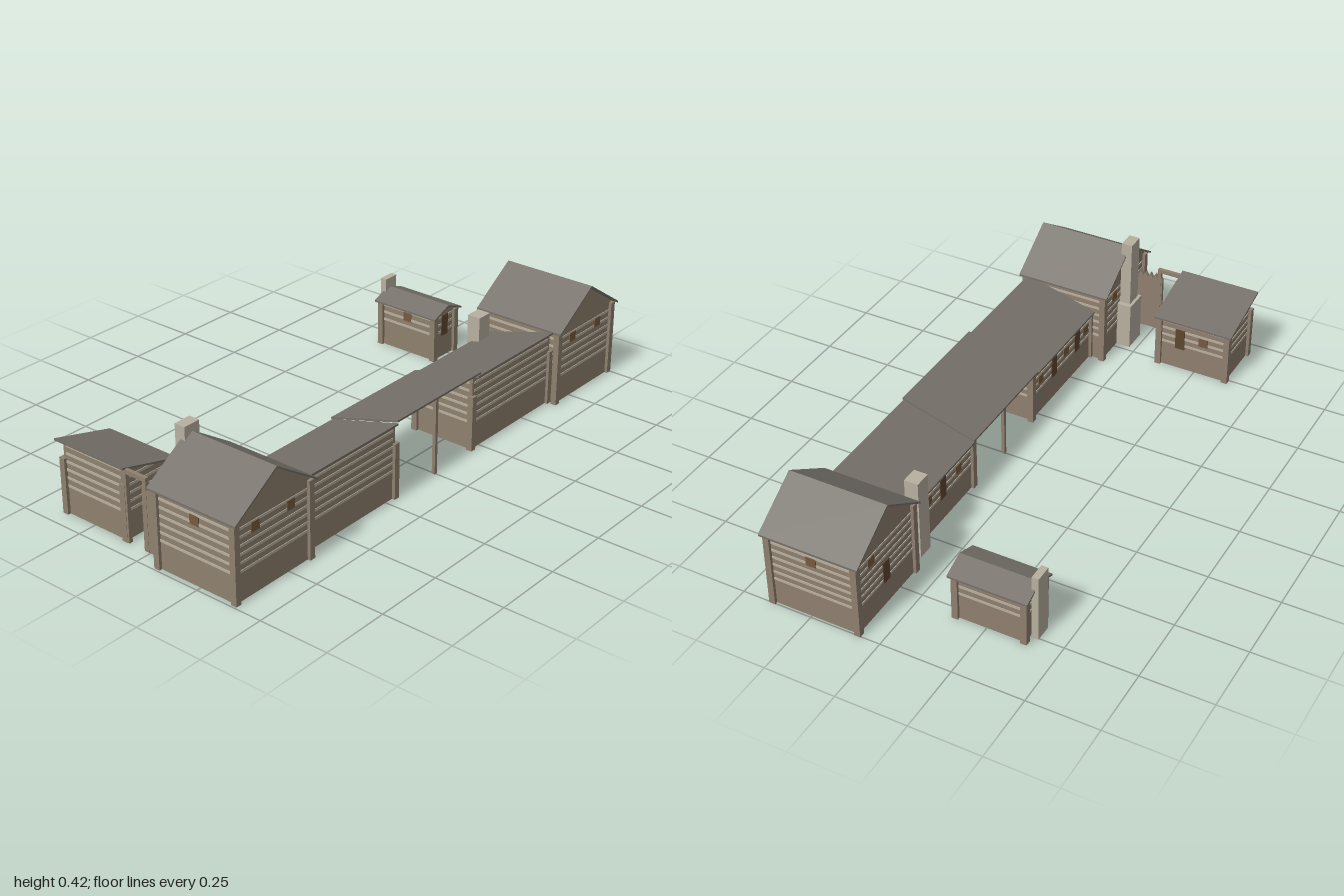
import * as THREE from 'three';

const mat = (name, color) => {
  const m = new THREE.MeshStandardMaterial({ color });
  m.name = name;
  return m;
};

export function createModel() {
  const log = mat('log brown', 0x8f806f);
  const chink = mat('pale chinking', 0xb9b09f);
  const shingle = mat('grey shingle', 0x76716a);
  const stone = mat('pale stone', 0xb8b0a0);
  const shutter = mat('window brown', 0x765a3e);
  const plank = mat('door brown', 0x5f4630);
  const root = new THREE.Group();
  root.name = 'fort';

  const add = (parent, name, geo, m, x = 0, y = 0, z = 0) => {
    const mesh = new THREE.Mesh(geo, m);
    mesh.name = name;
    mesh.position.set(x, y, z);
    parent.add(mesh);
    return mesh;
  };
  // Box given by its lower and upper limits on each axis
  const block = (parent, name, m, x0, x1, y0, y1, z0, z1) =>
    add(parent, name, new THREE.BoxGeometry(x1 - x0, y1 - y0, z1 - z0), m,
      (x0 + x1) / 2, (y0 + y1) / 2, (z0 + z1) / 2);

  // Prism along x from a profile of [z, y] points
  const prism = (pts, w) => {
    const shape = new THREE.Shape(pts.map(p => new THREE.Vector2(...p)));
    return new THREE.ExtrudeGeometry(shape, { depth: w, bevelEnabled: false })
      .translate(0, 0, -w / 2).rotateY(-Math.PI / 2);
  };

  // Roof slab from its underside line, running from back to front
  const T = 0.007;
  const slab = (line, w) => prism(
    [...line, ...line.slice().reverse().map(([z, y]) => [z, y + T])], w);

  // Log building: roof is the underside line; body and corner posts sit inside it
  function building(name, { x, z, turn = 0, w, d, roof, roofW, roofX = 0, postH, openings }) {
    const g = new THREE.Group();
    g.name = name;
    g.position.set(x, 0, z);
    g.rotation.y = turn;
    root.add(g);
    const roofY = t => {
      for (let i = 1; i < roof.length; i++) {
        const [a, b] = [roof[i - 1], roof[i]];
        if (t <= b[0]) return a[1] + (b[1] - a[1]) * (t - a[0]) / (b[0] - a[0]);
      }
      return roof.at(-1)[1];
    };
    const h = d / 2, backY = roofY(-h), frontY = roofY(h);
    const top = [[h, frontY], ...roof.slice(1, -1).reverse(), [-h, backY]];
    add(g, 'logWalls', prism([[-h, 0], [h, 0], ...top], w), log);
    add(g, 'roof', slab(roof, roofW), shingle, roofX);

    for (const sx of [-1, 1]) for (const sz of [-1, 1])
      add(g, 'cornerPost', new THREE.BoxGeometry(0.022, postH, 0.022), log,
        sx * w / 2, postH / 2, sz * h);

    // Chinking bands, cut short where a sloping wall top is lower
    for (let i = 0; i < 6; i++) {
      const y0 = 0.097 + i * 0.0288, y1 = y0 + 0.009;
      if (y1 > frontY) break;
      const low = y1 > backY;
      const cut = low ? -h + 2 * h * (y1 - backY) / (frontY - backY) : -h;
      block(g, 'chinkingLong', chink, -w / 2 + 0.011, w / 2 - 0.011, y0, y1,
        low ? cut : -h - 0.002, h + 0.002);
      if (cut < h - 0.02)
        block(g, 'chinkingSide', chink, -w / 2 - 0.002, w / 2 + 0.002, y0, y1,
          Math.max(cut, -h + 0.011), h - 0.011);
    }

    // Doors and windows as thin plates: [kind, side, offset, centre height]
    for (const [kind, side, off, y] of openings) {
      const [ow, oh] = kind === 'door' ? [0.036, 0.08] : [0.035, 0.033];
      const m = kind === 'door' ? plank : shutter;
      const s = side === 'front' || side === 'right' ? 1 : -1;
      if (side === 'front' || side === 'back')
        add(g, kind, new THREE.BoxGeometry(ow, oh, 0.008), m, off, y, s * h);
      else
        add(g, kind, new THREE.BoxGeometry(0.008, oh, ow), m, s * w / 2, y, off);
    }
    return g;
  }

  // Two-storey cabins at both ends
  const cabinRoof = [[-0.1825, 0.271], [0, 0.391], [0.1825, 0.271]];
  const cabin = { x: 0.235, w: 0.312, d: 0.33, roof: cabinRoof, roofW: 0.353, postH: 0.275 };
  const upper = [['window', 'right', 0.078, 0.229], ['window', 'right', -0.078, 0.229],
    ['window', 'left', -0.08, 0.229], ['door', 'left', 0, 0.13]];
  building('frontCabin', { ...cabin, z: 0.8175,
    openings: [...upper, ['window', 'front', 0, 0.227]] });
  building('backCabin', { ...cabin, z: -0.8275,
    openings: [...upper, ['window', 'back', 0, 0.227]] });

  // Long single-pitch ranges, high side outward
  const rangeRoof = [[-0.135, 0.194], [0.135, 0.27]];
  const range = { x: 0.246, turn: Math.PI / 2, w: 0.447, d: 0.232, roof: rangeRoof,
    roofW: 0.435, postH: 0.2 };
  building('frontRange', { ...range, z: 0.4295, openings: [
    ['door', 'back', 0.06, 0.13], ['door', 'back', -0.115, 0.13],
    ['window', 'back', 0.16, 0.14], ['window', 'back', -0.03, 0.14],
    ['window', 'back', -0.18, 0.14]] });
  building('backRange', { ...range, z: -0.4295, openings: [
    ['door', 'back', -0.03, 0.13], ['window', 'back', -0.13, 0.14],
    ['window', 'back', 0.06, 0.14]] });

  // Open passage roof between the ranges, on two poles
  const passage = add(root, 'passageRoof', slab([[-0.136, 0.203], [0.136, 0.282]], 0.44),
    shingle, 0.246, 0, -0.003);
  passage.rotation.y = Math.PI / 2;
  for (const [x, h] of [[0.366, 0.277], [0.126, 0.208]])
    block(root, 'passagePole', log, x - 0.006, x + 0.006, 0, h, -0.006, 0.006);

  // Single-pitch house beside the gate
  building('gateHouse', { x: -0.24, z: 0.8345, w: 0.264, d: 0.195,
    roof: [[-0.1175, 0.198], [0.1175, 0.26]], roofW: 0.298, roofX: -0.002, postH: 0.2,
    openings: [['door', 'back', 0.05, 0.125], ['window', 'back', -0.04, 0.138]] });

  // Small gabled hut
  building('smallHut', { x: -0.263, z: -0.7235, w: 0.24, d: 0.121,
    roof: [[-0.0805, 0.168], [0, 0.199], [0.0805, 0.168]], roofW: 0.278, postH: 0.17,
    openings: [['door', 'right', 0, 0.125], ['window', 'front', 0, 0.14]] });

  // Chimneys
  block(root, 'cabinChimneyBase', stone, 0.026, 0.08, 0, 0.175, 0.77, 0.86);
  block(root, 'cabinChimney', stone, 0.037, 0.077, 0.17, 0.423, 0.787, 0.85);
  block(root, 'rangeChimney', stone, 0.095, 0.145, 0, 0.298, -0.6, -0.54);
  block(root, 'hutChimney', stone, -0.414, -0.39, 0, 0.243, -0.754, -0.693);

  // Gate: posts, lintel and pointed stakes
  const gz = 0.935;
  block(root, 'gatePost', log, -0.103, -0.089, 0, 0.258, gz - 0.007, gz + 0.007);
  block(root, 'gatePost', log, -0.019, -0.005, 0, 0.258, gz - 0.007, gz + 0.007);
  block(root, 'gateLintel', log, -0.109, -0.005, 0.245, 0.259, gz - 0.007, gz + 0.007);
  const fence = [[-0.0245, 0]];
  for (let i = 0; i < 5; i++) {
    const x = -0.0245 + i * 0.0195;
    fence.push([x, 0.215], [x + 0.00975, 0.234]);
  }
  fence.push([0.073, 0.215], [0.073, 0]);
  const fenceShape = new THREE.Shape(fence.map(p => new THREE.Vector2(...p)));
  add(root, 'palisade', new THREE.ExtrudeGeometry(fenceShape,
    { depth: 0.012, bevelEnabled: false }), log, 0, 0, gz - 0.006);

  return root;
}
